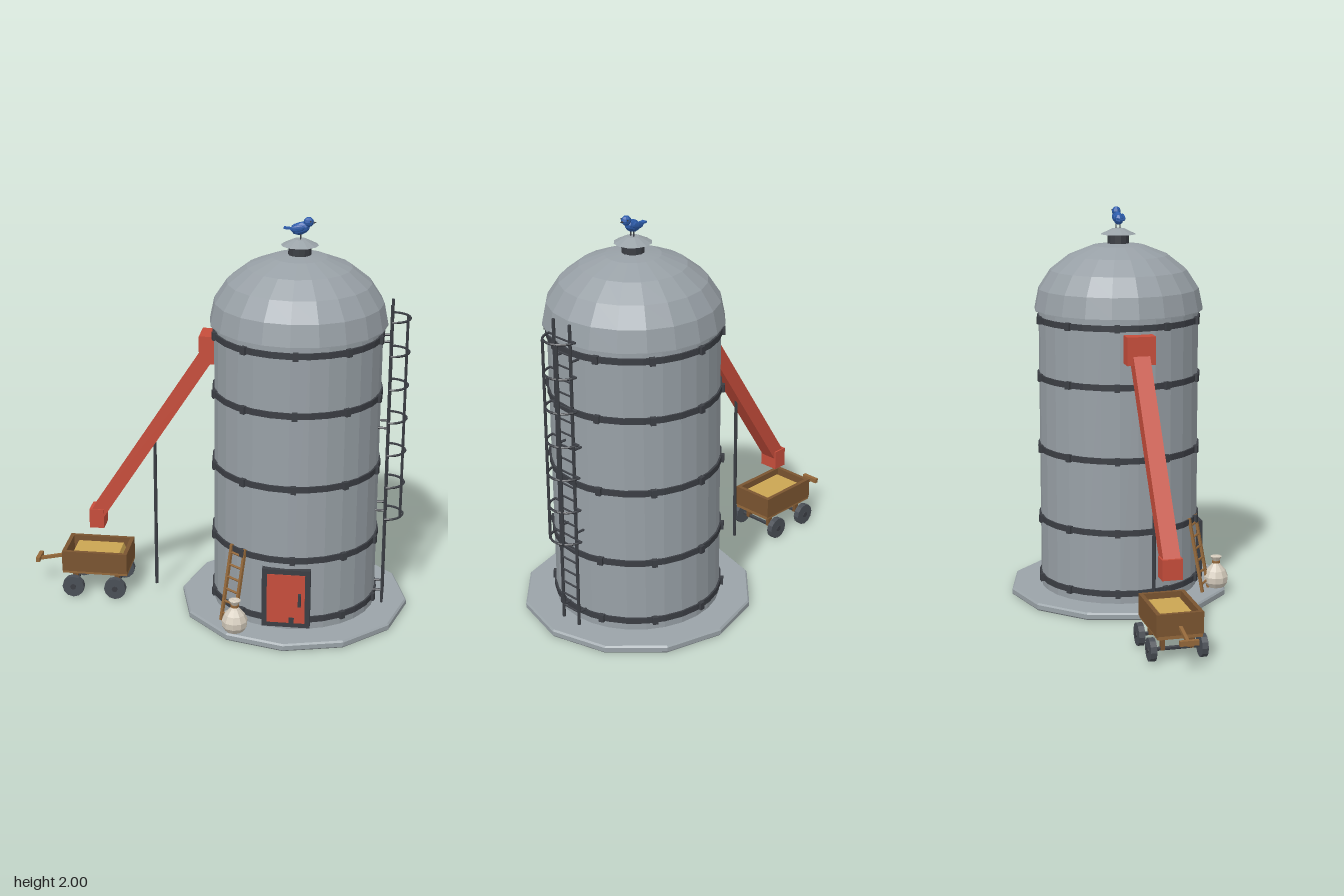
import * as THREE from 'three';

const mat = (name, color) => new THREE.MeshStandardMaterial({ name, color, flatShading: true });

export function createModel() {
  const M = {
    steel: mat('steel grey', 0x98a0a6),
    concrete: mat('concrete grey', 0x9aa3a8),
    iron: mat('dark iron', 0x3b3e44),
    red: mat('barn red', 0xc64d3b),
    wood: mat('dark wood', 0x7a5430),
    lightWood: mat('light wood', 0x94683a),
    grain: mat('grain', 0xcaa552),
    cloth: mat('sack cloth', 0xd3cabb),
    blue: mat('bird blue', 0x2d5caa),
    tyre: mat('tyre grey', 0x4a4f56),
  };
  const root = new THREE.Group();
  root.name = 'grainSilo';

  const group = (name, parent = root) => {
    const g = new THREE.Group();
    g.name = name;
    parent.add(g);
    return g;
  };
  const add = (parent, name, geo, material, x = 0, y = 0, z = 0) => {
    const m = new THREE.Mesh(geo, material);
    m.name = name;
    m.position.set(x, y, z);
    parent.add(m);
    return m;
  };
  const box = (parent, name, material, w, h, d, x, y, z) =>
    add(parent, name, new THREE.BoxGeometry(w, h, d), material, x, y, z);
  const cyl = (parent, name, material, rTop, rBottom, h, sides, x, y, z) =>
    add(parent, name, new THREE.CylinderGeometry(rTop, rBottom, h, sides), material, x, y, z);
  // Straight member between two points: round with radius w, or w x d rectangular
  const beam = (parent, name, material, a, b, w, d) => {
    const A = new THREE.Vector3(...a), B = new THREE.Vector3(...b);
    const len = A.distanceTo(B);
    const geo = d ? new THREE.BoxGeometry(w, len, d) : new THREE.CylinderGeometry(w, w, len, 6);
    const m = add(parent, name, geo, material);
    m.position.copy(A).add(B).multiplyScalar(0.5);
    m.quaternion.setFromUnitVectors(new THREE.Vector3(0, 1, 0), B.sub(A).normalize());
    return m;
  };
  const lathe = (parent, name, material, pts, sides, x, y, z) =>
    add(parent, name, new THREE.LatheGeometry(pts.map(p => new THREE.Vector2(...p)), sides), material, x, y, z);

  // ---- Silo: pad, wall, dome, cap ----
  const silo = group('silo');
  silo.position.x = 0.385;
  lathe(silo, 'basePad', M.concrete,
    [[0, 0.005], [0.565, 0.005], [0.571, 0.012], [0.571, 0.034], [0.563, 0.042], [0, 0.042]], 12, 0, 0, 0);
  cyl(silo, 'wall', M.steel, 0.407, 0.407, 1.46, 28, 0, 0.77, 0);
  const domePts = [[0, 1.485], [0.43, 1.485]];
  for (let i = 0; i <= 5; i++) {
    const a = (i / 5) * Math.PI / 2;
    domePts.push([i === 5 ? 0 : 0.43 * Math.cos(a), 1.49 + 0.335 * Math.sin(a)]);
  }
  lathe(silo, 'dome', M.steel, domePts, 20, 0, 0, 0);
  cyl(silo, 'ventCollar', M.iron, 0.055, 0.055, 0.06, 12, 0, 1.837, 0);
  lathe(silo, 'ventCap', M.concrete, [[0, 1.864], [0.09, 1.864], [0.03, 1.893], [0, 1.893]], 12, 0, 0, 0);

  // Iron bands with bolted lugs
  for (const y of [0.095, 0.41, 0.78, 1.15, 1.443]) {
    const band = group('band', silo);
    cyl(band, 'hoop', M.iron, 0.416, 0.416, 0.03, 28, 0, y, 0);
    for (let i = 0; i < 10; i++) {
      const a = 0.06 + (i / 10) * Math.PI * 2;
      const lug = box(band, 'lug', M.iron, 0.026, 0.038, 0.022, Math.sin(a) * 0.416, y, Math.cos(a) * 0.416);
      lug.rotation.y = a;
    }
  }

  // ---- Door ----
  const door = group('door');
  for (const s of [-1, 1]) {
    box(door, 'doorJamb', M.iron, 0.025, 0.305, 0.06, 0.3825 + s * 0.105, 0.2125, 0.392);
    box(door, 'doorLintel', M.iron, 0.235, 0.025, 0.06, 0.3825, 0.2125 + s * 0.14, 0.392);
  }
  box(door, 'doorPanel', M.red, 0.185, 0.256, 0.06, 0.3825, 0.2125, 0.395);
  box(door, 'doorHandle', M.iron, 0.014, 0.065, 0.018, 0.45, 0.213, 0.435);

  // ---- Safety ladder with cage ----
  const ladder = group('safetyLadder');
  const railX = 0.833;
  for (const s of [-1, 1]) {
    beam(ladder, 'rail', M.iron, [railX, 0.042, s * 0.054], [railX, 1.6, s * 0.054], 0.008);
    for (const y of [0.11, 0.545, 0.98, 1.42])
      beam(ladder, 'standoff', M.iron, [0.77, y, s * 0.054], [railX, y, s * 0.054], 0.006);
    const a = s * 0.56;
    const sx = railX + 0.088 * Math.cos(a), sz = 0.088 * Math.sin(a);
    beam(ladder, 'cageStrap', M.iron, [sx, 0.51, sz], [sx, 1.525, sz], 0.007);
  }
  for (let i = 0; i < 22; i++) {
    const y = 0.11 + i * 0.067;
    beam(ladder, 'rung', M.iron, [railX, y, -0.054], [railX, y, 0.054], 0.005);
  }
  for (let i = 0; i < 7; i++) {
    const y = 0.51 + i * 0.169;
    const hoop = new THREE.TorusGeometry(0.087, 0.006, 5, 12, Math.PI).rotateZ(-Math.PI / 2).rotateX(Math.PI / 2);
    add(ladder, 'cageHoop', hoop, M.iron, railX, y, 0);
    for (const s of [-1, 1])
      beam(ladder, 'hoopBracket', M.iron, [railX, y, s * 0.05], [railX, y, s * 0.09], 0.006);
  }

  // ---- Grain chute and its post ----
  const chute = group('chute');
  beam(chute, 'chuteTube', M.red, [-0.62, 0.432, 0], [-0.045, 1.32, 0], 0.072, 0.084);
  box(chute, 'inletBox', M.red, 0.09, 0.14, 0.144, -0.045, 1.342, 0);
  box(chute, 'spout', M.red, 0.074, 0.1, 0.1, -0.622, 0.41, 0);
  beam(chute, 'supportPost', M.iron, [-0.325, 0.045, 0], [-0.325, 0.86, 0], 0.009);

  // ---- Leaning wooden ladder, placed in a frame whose +z points away from the wall ----
  const lean = group('woodenLadder');
  lean.position.x = 0.385;
  lean.rotation.y = Math.atan2(-0.6, 0.8);
  const at = (s, t) => [s * 0.044, 0.045 + t * 0.385, 0.485 - t * 0.075];
  for (const s of [-1, 1]) beam(lean, 'rail', M.lightWood, at(s, 0), at(s, 1), 0.014, 0.014);
  for (let i = 0; i < 6; i++) {
    const t = 0.1 + i * 0.16;
    beam(lean, 'rung', M.lightWood, at(-1, t), at(1, t), 0.006);
  }

  // ---- Tied sack ----
  const sack = group('sack');
  sack.position.set(0.138, 0.042, 0.458);
  lathe(sack, 'sackBody', M.cloth,
    [[0, 0], [0.045, 0.004], [0.062, 0.03], [0.064, 0.06], [0.05, 0.092], [0.026, 0.118], [0.016, 0.132],
      [0.017, 0.142], [0.03, 0.165], [0.014, 0.17], [0, 0.166]], 10, 0, 0, 0);
  cyl(sack, 'tie', M.lightWood, 0.021, 0.021, 0.012, 10, 0, 0.136, 0);

  // ---- Cart ----
  const cart = group('cart');
  cart.position.x = -0.6275;
  box(cart, 'floor', M.lightWood, 0.335, 0.016, 0.215, 0, 0.132, 0);
  for (const s of [-1, 1]) {
    box(cart, 'sideBoard', M.wood, 0.335, 0.107, 0.02, 0, 0.1915, s * 0.103);
    box(cart, 'endBoard', M.wood, 0.02, 0.107, 0.187, s * 0.1575, 0.1915, 0);
    const ax = s * 0.108;
    beam(cart, 'axle', M.iron, [ax, 0.062, -0.12], [ax, 0.062, 0.12], 0.01);
    for (const z of [-1, 1]) {
      box(cart, 'axleBracket', M.wood, 0.025, 0.07, 0.02, ax, 0.092, z * 0.07);
      const wheel = cyl(cart, 'wheel', M.tyre, 0.056, 0.056, 0.03, 12, ax, 0.062, z * 0.123);
      wheel.rotation.x = Math.PI / 2;
      const hub = cyl(cart, 'hub', M.iron, 0.015, 0.015, 0.008, 8, ax, 0.062, z * 0.139);
      hub.rotation.x = Math.PI / 2;
    }
  }
  // Heaped grain: a shallow four-sided frustum
  const heap = new THREE.CylinderGeometry(0.8 * Math.SQRT1_2, Math.SQRT1_2, 1, 4).rotateY(Math.PI / 4);
  heap.scale(0.295, 0.085, 0.187);
  add(cart, 'grainLoad', heap, M.grain, 0, 0.183, 0);
  beam(cart, 'tongue', M.lightWood, [-0.165, 0.178, 0], [-0.318, 0.145, 0], 0.016, 0.016);
  box(cart, 'tongueHandle', M.lightWood, 0.02, 0.024, 0.09, -0.313, 0.155, 0);

  // ---- Bird on the vent cap, facing +x ----
  const bird = group('bird');
  bird.position.set(0.385, 1.89, 0);
  const blob = (name, sx, sy, sz, x, y, z, tilt) => {
    const m = add(bird, name, new THREE.SphereGeometry(1, 8, 6).scale(sx, sy, sz), M.blue, x, y, z);
    m.rotation.z = tilt;
    return m;
  };
  blob('body', 0.046, 0.03, 0.026, 0.002, 0.054, 0, 0.35);
  blob('head', 0.025, 0.024, 0.023, 0.04, 0.086, 0, 0);
  beam(bird, 'tail', M.blue, [-0.078, 0.055, 0], [-0.02, 0.05, 0], 0.008, 0.026);
  const beak = add(bird, 'beak', new THREE.ConeGeometry(0.008, 0.022, 5), M.iron, 0.068, 0.084, 0);
  beak.rotation.z = -Math.PI / 2;
  for (const s of [-1, 1]) {
    blob('wing', 0.036, 0.017, 0.007, -0.01, 0.058, s * 0.024, 0.2);
    beam(bird, 'leg', M.iron, [0.004, 0, s * 0.01], [0.002, 0.032, s * 0.01], 0.003);
    box(bird, 'eye', M.iron, 0.006, 0.006, 0.004, 0.05, 0.092, s * 0.02);
  }

  return root;
}
